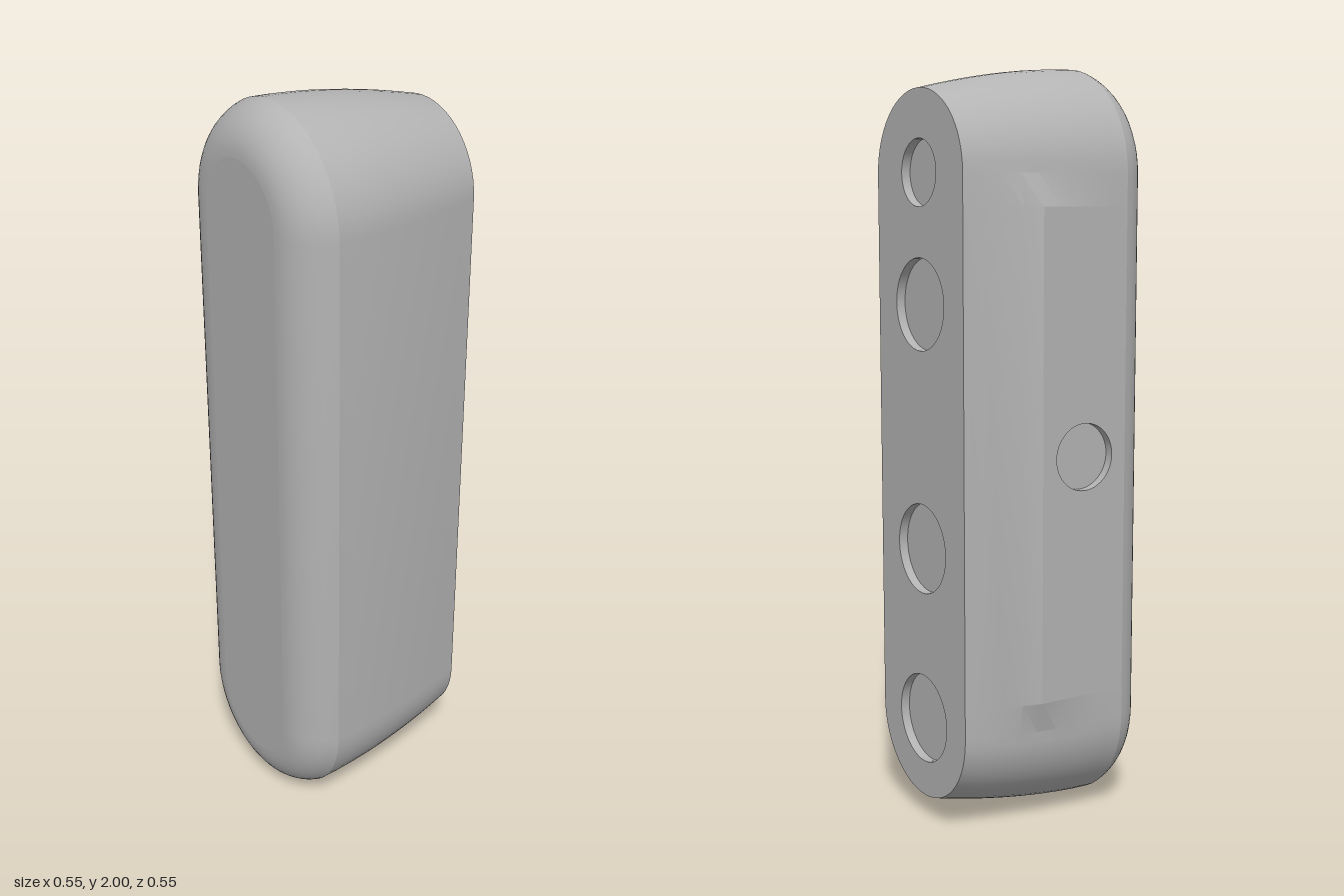
import * as THREE from 'three';
import { toCreasedNormals } from 'three/addons/utils/BufferGeometryUtils.js';

const END = 0.277;        // half width, and height of the lower arc centre
const SHOULDER = -0.18;   // where the rounded edge meets the tapering body
const BEND = 0.08;        // where the flat back starts to slope
const FLAT = [0.36, 1.64]; // height range of the flat back
const DEPTH = 0.025;      // recess depth
const ARC = 28;

// x, radius and back offset of each cross-section
function stations() {
  const list = [];
  const R = 0.1315, sweep = 1.305;
  for (let i = 0; i < 10; i++) {
    const a = (sweep * i) / 10;
    const r = 0.15 + R * Math.sin(a);
    list.push({ x: -END + R * (1 - Math.cos(a)), r, back: r });
  }
  const xs = [SHOULDER, -0.13, -0.08, -0.03, 0.025, BEND, 0.13, 0.18, 0.23, END];
  for (const x of xs) {
    const r = 0.277 - 0.064 * Math.pow((x - SHOULDER) / (END - SHOULDER), 1.75);
    const back = x <= BEND ? 0.277 : 0.277 - 0.064 * (x - BEND) / (END - BEND);
    list.push({ x, r, back });
  }
  return list;
}

// Stadium outline; u points to the back
function outline({ r, back }) {
  const pts = [];
  for (const [cy, start] of [[2 - END, 0], [END, Math.PI]]) {
    for (let i = 0; i <= ARC; i++) {
      const t = start + (Math.PI * i) / ARC;
      pts.push(new THREE.Vector2(r * Math.cos(t), cy + r * Math.sin(t)));
    }
  }
  for (const y of FLAT) pts.push(new THREE.Vector2(back, y));
  return pts;
}

function shellGeometry(list) {
  const pos = [], index = [];
  const n = outline(list[0]).length;
  for (const s of list) for (const p of outline(s)) pos.push(s.x, p.y, -p.x);
  for (let i = 0; i < list.length - 1; i++) {
    const onFlat = list[i].x >= SHOULDER && list[i + 1].x <= BEND;
    for (let j = 0; j < n; j++) {
      if (onFlat && j === n - 2) continue; // filled by the back panel
      const k = (j + 1) % n;
      const a = i * n + j, b = i * n + k, c = a + n, d = b + n;
      index.push(a, b, d, a, d, c);
    }
  }
  const g = new THREE.BufferGeometry();
  g.setAttribute('position', new THREE.Float32BufferAttribute(pos, 3));
  g.setIndex(index);
  return toCreasedNormals(g, 0.21);
}

export function createModel() {
  const model = new THREE.Group();
  const grey = new THREE.MeshStandardMaterial({ color: 0xb3b3b3, side: THREE.DoubleSide });
  grey.name = 'plain grey';

  function add(parent, name, geometry) {
    const mesh = new THREE.Mesh(geometry, grey);
    mesh.name = name;
    parent.add(mesh);
    return mesh;
  }

  // Flat panel facing local +z with shallow round recesses
  function panel(name, points, holes) {
    const group = new THREE.Group();
    group.name = name;
    const shape = new THREE.Shape(points);
    for (const [u, v, r] of holes) {
      shape.holes.push(new THREE.Path().absarc(u, v, r, 0, Math.PI * 2, true));
      add(group, 'recessWall', new THREE.CylinderGeometry(r, r, DEPTH, 48, 1, true)
        .rotateX(Math.PI / 2).translate(u, v, -DEPTH / 2));
      add(group, 'recessFloor', new THREE.CircleGeometry(r, 48).translate(u, v, -DEPTH));
    }
    add(group, name + 'Surface', new THREE.ShapeGeometry(shape, 24));
    model.add(group);
    return group;
  }

  const list = stations();
  add(model, 'bodyShell', shellGeometry(list));

  // Face with four recesses
  const face = panel('recessedFace', outline(list[list.length - 1]),
    [[0, 1.725, 0.086], [0, 1.39, 0.12], [0, 0.746, 0.12], [0, 0.28, 0.12]]);
  face.rotation.y = Math.PI / 2;
  face.position.x = END;

  // Plain opposite face
  const plain = panel('plainFace', outline(list[0]).map((p) => new THREE.Vector2(-p.x, p.y)), []);
  plain.rotation.y = -Math.PI / 2;
  plain.position.x = -END;

  // Flat back with a single recess
  const [lo, hi] = FLAT;
  const corners = [[-BEND, lo], [-SHOULDER, lo], [-SHOULDER, hi], [-BEND, hi]];
  const back = panel('backPanel', corners.map(([u, v]) => new THREE.Vector2(u, v)), [[0.05, 1, 0.088]]);
  back.rotation.y = Math.PI;
  back.position.z = -0.277;

  return model;
}
